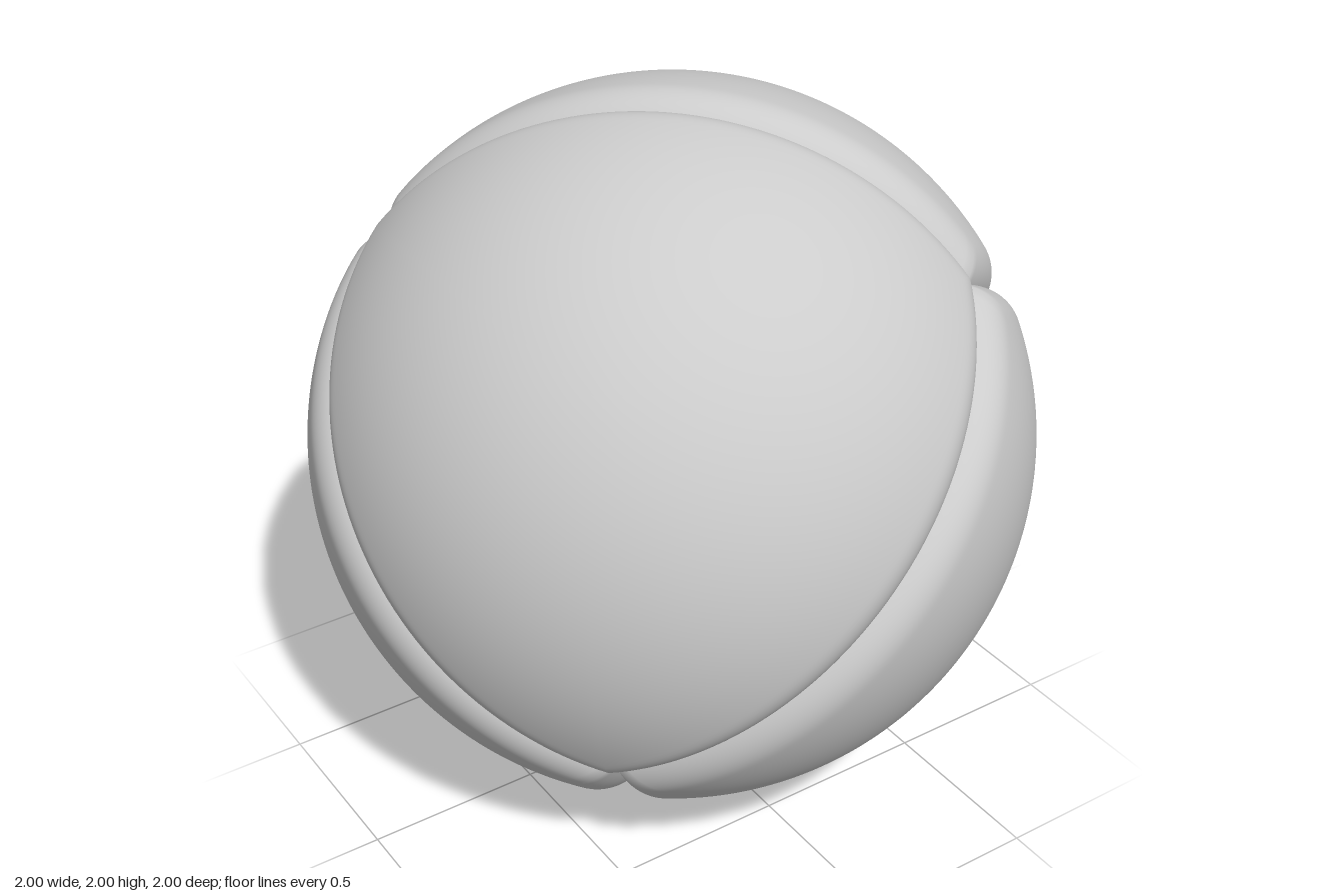
import * as THREE from 'three';
import { mergeVertices } from 'three/addons/utils/BufferGeometryUtils.js';

const RADIUS = 1.005;   // sphere radius
const GROOVE = 0.11;    // half width of a groove
const FILLET = 0.142;   // radius of the rounded piece rim

// Radius of the surface at a given distance from the nearest seam
function surfaceRadius(distance) {
  const x = Math.max(0, GROOVE - distance);
  return RADIUS - (FILLET - Math.sqrt(FILLET * FILLET - x * x));
}

function slerp(a, b, t) {
  const angle = a.angleTo(b);
  return a.clone().multiplyScalar(Math.sin((1 - t) * angle))
    .addScaledVector(b, Math.sin(t * angle)).divideScalar(Math.sin(angle));
}

// One spherical triangle as three sectors running from its centre to its seams
function pieceGeometry(centre, corners) {
  const COLS = 56, ROWS = 44;
  const positions = [], indices = [];
  for (let s = 0; s < 3; s++) {
    let a = corners[s], b = corners[(s + 1) % 3];
    if (centre.dot(a.clone().cross(b)) < 0) [a, b] = [b, a];
    const seamNormal = a.clone().cross(b).normalize();
    const base = positions.length / 3;
    for (let i = 0; i <= ROWS; i++) {
      const v = 1 - (1 - i / ROWS) ** 2; // rows crowd towards the seam
      for (let j = 0; j <= COLS; j++) {
        const p = slerp(centre, slerp(a, b, j / COLS), v);
        const distance = Math.asin(Math.max(0, p.dot(seamNormal)));
        p.multiplyScalar(surfaceRadius(distance));
        positions.push(p.x, p.y, p.z);
        if (i < ROWS && j < COLS) {
          const k = base + i * (COLS + 1) + j, n = k + COLS + 1;
          indices.push(k, n, n + 1);
          if (i > 0) indices.push(k, n + 1, k + 1);
        }
      }
    }
  }
  const geometry = new THREE.BufferGeometry();
  geometry.setAttribute('position', new THREE.Float32BufferAttribute(positions, 3));
  geometry.setIndex(indices);
  const merged = mergeVertices(geometry, 1e-5);
  merged.computeVertexNormals();
  return merged;
}

export function createModel() {
  const model = new THREE.Group();
  model.name = 'segmentedBall';
  const material = new THREE.MeshStandardMaterial({ color: 0xcccccc });

  // Seams meet at the corners of a tetrahedron
  const corners = [[1, 1, 1], [-1, -1, 1], [1, -1, -1], [-1, 1, -1]]
    .map((c) => new THREE.Vector3(...c).normalize());

  // Each piece lies opposite one corner
  corners.forEach((corner, i) => {
    const others = corners.filter((_, j) => j !== i);
    const piece = new THREE.Mesh(pieceGeometry(corner.clone().negate(), others), material);
    piece.name = `ballPiece${i + 1}`;
    piece.position.y = 1;
    model.add(piece);
  });
  return model;
}
